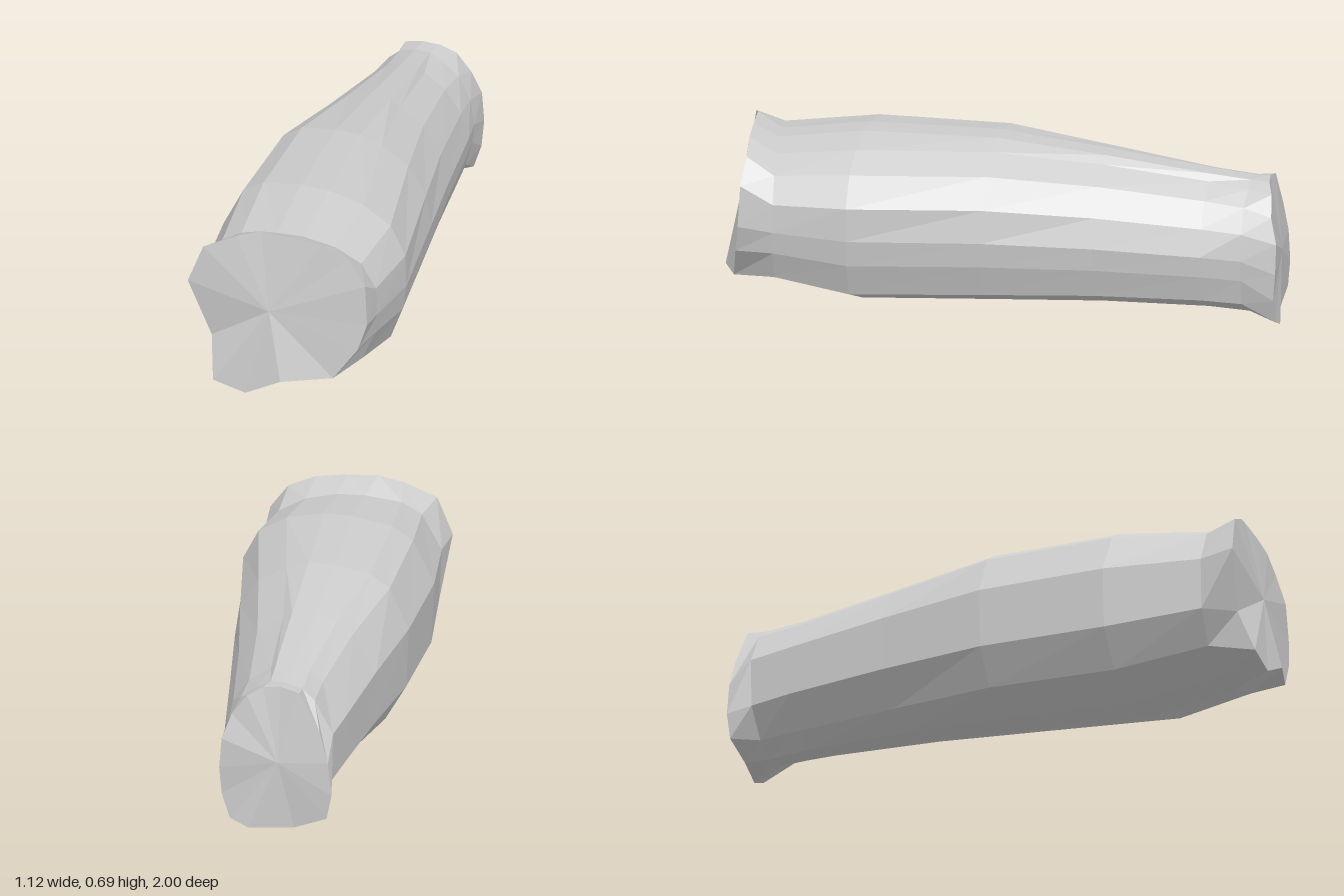
import * as THREE from 'three';

// Cross-section outline in unit form, counter-clockwise from the lower right-hand corner
const PROFILE = [
  [-0.73, -0.82], [-0.25, -1], [0.25, -0.93], [0.83, -0.68], [0.96, -0.3],
  [1, 0], [0.96, 0.38], [0.77, 0.72], [0.46, 0.91], [0.15, 1],
  [-0.15, 1], [-0.56, 0.93], [-0.78, 0.78], [-1, 0.3], [-0.97, -0.4],
];

// Uneven rim of the wide front end
const FRONT_RIM = [
  [0.04, 0.11, 1], [0.16, 0.08, 0.97], [0.29, 0.15, 0.94], [0.45, 0.17, 0.84], [0.53, 0.29, 0.8],
  [0.557, 0.39, 0.78], [0.545, 0.54, 0.775], [0.475, 0.63, 0.78], [0.38, 0.67, 0.81], [0.27, 0.685, 0.84],
  [0.16, 0.69, 0.87], [0.08, 0.665, 0.91], [-0.03, 0.61, 0.96], [-0.08, 0.47, 0.985], [0, 0.26, 0.95],
];

// Uneven rim of the narrow back end
const BACK_RIM = [
  [-0.54, 0.05, -0.89], [-0.42, 0.005, -0.91], [-0.27, 0, -0.975], [-0.2, 0.03, -0.985], [-0.17, 0.12, -0.99],
  [-0.165, 0.22, -1], [-0.175, 0.33, -1], [-0.2, 0.42, -0.97], [-0.25, 0.49, -0.95], [-0.3, 0.52, -0.92],
  [-0.36, 0.525, -0.9], [-0.43, 0.508, -0.89], [-0.51, 0.37, -0.885], [-0.545, 0.26, -0.89], [-0.56, 0.14, -0.89],
];

// Slanted body sections: x and z at each side, bottom and top heights,
// then how far the upper left shoulder and the right-hand corners are drawn in
const SECTIONS = [
  [-0.1, 0.86, 0.52, 0.66, 0.1, 0.643, -0.06, 0],
  [-0.24, 0.53, 0.465, 0.4, 0.035, 0.675, -0.08, 0],
  [-0.37, 0.08, 0.268, -0.04, 0.035, 0.655, 0.06, 0],
  [-0.435, -0.3, 0.1, -0.4, 0.04, 0.6, 0.2, 0.1],
  [-0.5, -0.66, -0.06, -0.75, 0.03, 0.54, 0.24, 0.16],
  [-0.525, -0.81, -0.125, -0.88, 0.015, 0.52, 0.1, 0.12],
];

function sectionRing([x0, z0, x1, z1, y0, y1, shoulder, chamfer]) {
  return PROFILE.map(([u, v]) => {
    let s = u;
    if (u > 0.3 && v > 0.3) s -= shoulder * v;
    if (u < -0.5 && Math.abs(v) > 0.7) s += chamfer;
    const t = (s + 1) / 2;
    return [x0 + (x1 - x0) * t, y0 + (y1 - y0) * (v + 1) / 2, z0 + (z1 - z0) * t];
  });
}

function facetedMesh(name, triangles, material) {
  const geometry = new THREE.BufferGeometry();
  geometry.setAttribute('position', new THREE.Float32BufferAttribute(triangles.flat(2), 3));
  geometry.computeVertexNormals();
  const mesh = new THREE.Mesh(geometry, material);
  mesh.name = name;
  return mesh;
}

// Skin joining consecutive rings from front to back
function loft(rings) {
  const triangles = [];
  for (let r = 0; r < rings.length - 1; r++) {
    const a = rings[r], b = rings[r + 1], n = a.length;
    for (let i = 0; i < n; i++) {
      const j = (i + 1) % n;
      triangles.push([a[i], b[i], b[j]], [a[i], b[j], a[j]]);
    }
  }
  return triangles;
}

// Fan of triangles closing one end
function fan(ring, centre, facesBack) {
  return ring.map((p, i) => {
    const q = ring[(i + 1) % ring.length];
    return facesBack ? [centre, q, p] : [centre, p, q];
  });
}

export function createModel() {
  const group = new THREE.Group();
  group.name = 'taperedLimb';
  const material = new THREE.MeshStandardMaterial({ color: 0xcccccc, flatShading: true });
  const rings = [FRONT_RIM, ...SECTIONS.map(sectionRing), BACK_RIM];

  group.add(
    facetedMesh('limbBody', loft(rings), material),
    facetedMesh('frontCap', fan(FRONT_RIM, [0.22, 0.4, 0.91], false), material),
    facetedMesh('backCap', fan(BACK_RIM, [-0.37, 0.25, -0.94], true), material),
  );
  return group;
}
